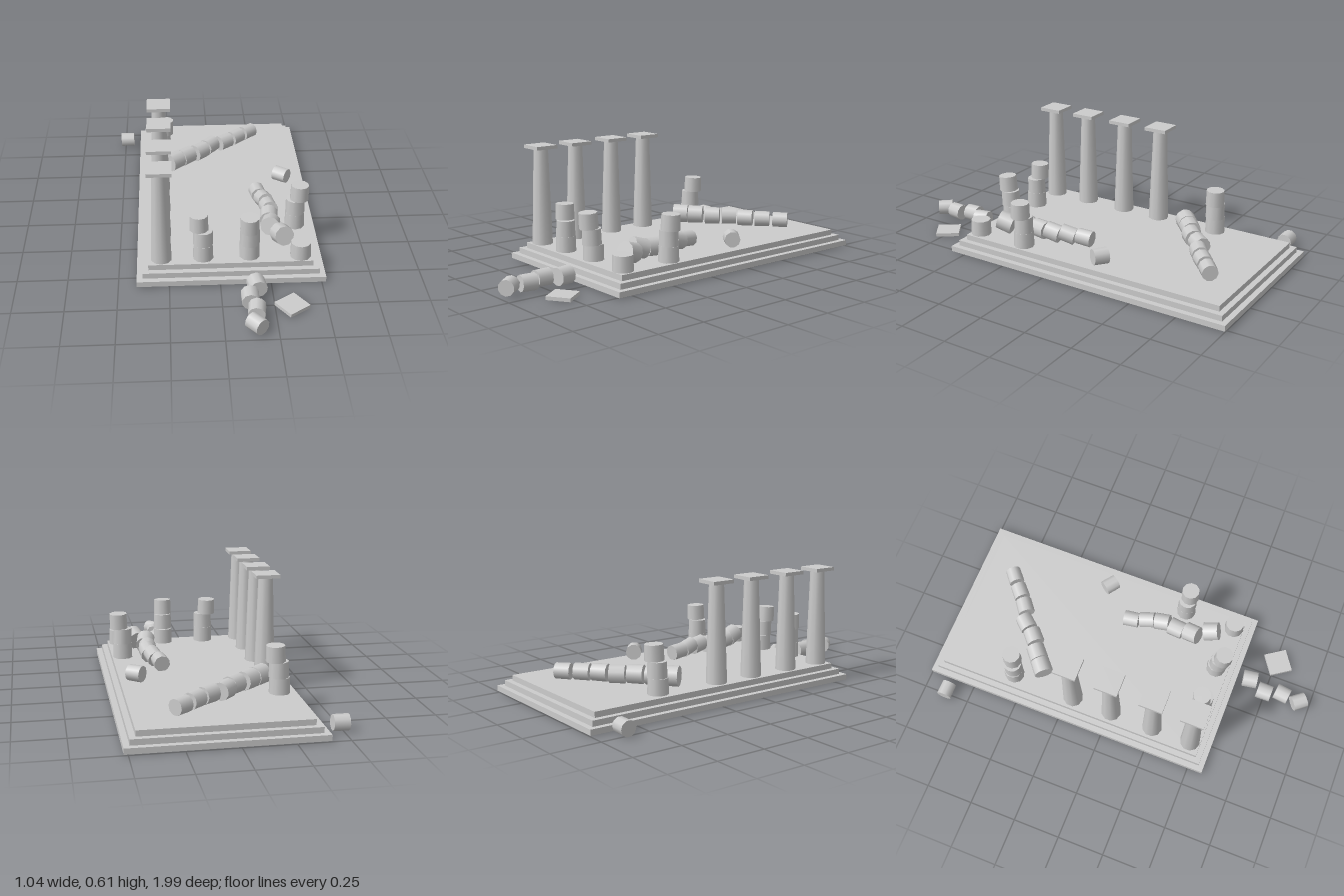
import * as THREE from 'three';

const stone = new THREE.MeshStandardMaterial({ color: 0xcccccc });
const shellStone = new THREE.MeshStandardMaterial({ color: 0xcccccc, side: THREE.DoubleSide });
const UP = new THREE.Vector3(0, 1, 0);
const SIDES = 10;
const FLOOR = 0.09;
const GROUND = 0.003;

function add(parent, name, geometry, x, y, z, material = stone) {
  const mesh = new THREE.Mesh(geometry, material);
  mesh.name = name;
  mesh.position.set(x, y, z);
  parent.add(mesh);
  return mesh;
}

// Hollow stepped platform, open below: rectangle rings joined by strips, then a top
function steppedShell(x0, x1, z0, z1, steps, inset, rise) {
  const rings = [];
  for (let i = 0; i < steps; i++) {
    const d = i * inset;
    for (const y of [i * rise, (i + 1) * rise]) {
      rings.push([
        [x0 + d, y, z1 - d], [x1 - d, y, z1 - d],
        [x1 - d, y, z0 + d], [x0 + d, y, z0 + d],
      ]);
    }
  }
  const pos = [];
  const quad = (a, b, c, d) => pos.push(...a, ...b, ...c, ...a, ...c, ...d);
  for (let r = 0; r < rings.length - 1; r++) {
    for (let k = 0; k < 4; k++) {
      const n = (k + 1) % 4;
      quad(rings[r][k], rings[r][n], rings[r + 1][n], rings[r + 1][k]);
    }
  }
  quad(...rings[rings.length - 1]);
  const g = new THREE.BufferGeometry();
  g.setAttribute('position', new THREE.Float32BufferAttribute(pos, 3));
  g.computeVertexNormals();
  return g;
}

// One drum whose axis has a heading about y (0 = +z) and a pitch above level
function lyingDrum(parent, x, z, base, r, heading, pitch = 0, length = 0.08) {
  const y = base + r * Math.cos(pitch) + (length / 2) * Math.abs(Math.sin(pitch));
  const drum = add(parent, 'fallenDrum', new THREE.CylinderGeometry(r * 0.97, r, length, SIDES), x, y, z);
  const axis = new THREE.Vector3(
    Math.sin(heading) * Math.cos(pitch), Math.sin(pitch), Math.cos(heading) * Math.cos(pitch));
  drum.quaternion.setFromUnitVectors(UP, axis);
}

// A broken column still standing: drums given as [x, z, tiltX, tiltZ]
function drumStack(parent, drums) {
  const stack = new THREE.Group();
  stack.name = 'brokenColumn';
  drums.forEach(([x, z, tx = 0, tz = 0], i) => {
    const r = 0.052 - i * 0.0018;
    const drum = add(stack, 'standingDrum', new THREE.CylinderGeometry(r * 0.96, r, 0.08, SIDES),
      x, FLOOR + 0.04 + i * 0.08, z);
    drum.rotation.set(tx, i * 0.3, tz);
  });
  parent.add(stack);
}

export function createModel() {
  const model = new THREE.Group();
  model.name = 'ruinedColonnade';

  add(model, 'steppedPlatform', steppedShell(-0.41, 0.52, -1, 0.58, 3, 0.029, 0.0287), 0, 0.004, 0, shellStone);

  // Whole columns with square capitals
  for (const z of [0.465, 0.25, 0.015, -0.205]) {
    const column = new THREE.Group();
    column.name = 'column';
    column.position.set(-0.287, FLOOR, z);
    add(column, 'shaft', new THREE.CylinderGeometry(0.037, 0.053, 0.5, SIDES), 0, 0.25, 0);
    add(column, 'capital', new THREE.BoxGeometry(0.122, 0.018, 0.122), 0, 0.509, 0);
    model.add(column);
  }

  // Broken standing columns
  drumStack(model, [[-0.08, 0.46], [-0.08, 0.46, 0.02, -0.02], [-0.1, 0.45, -0.03, 0.02]]);
  drumStack(model, [[0.15, 0.455], [0.15, 0.465, 0.04], [0.147, 0.482, 0.07]]);
  drumStack(model, [[0.405, 0.19], [0.405, 0.19, 0, 0.02], [0.425, 0.195, 0, -0.03]]);
  drumStack(model, [[-0.28, -0.55], [-0.275, -0.55], [-0.257, -0.555, 0, -0.03]]);
  drumStack(model, [[0.403, 0.47]]);

  // Column fallen across the back of the floor
  const backRow = new THREE.Group();
  backRow.name = 'fallenColumnBack';
  [[-0.205, -0.42, 2.28], [-0.14, -0.475, 2.28], [-0.06, -0.53, 2.3], [0, -0.6, 2.42],
    [0.087, -0.645, 2.22], [0.16, -0.705, 2.3], [0.235, -0.77, 2.26]]
    .forEach(([x, z, h], i) => lyingDrum(backRow, x, z, FLOOR, 0.052 - i * 0.0017, h));
  model.add(backRow);

  // Column fallen along the left of the floor, its drums tipped up toward the front
  const sideRow = new THREE.Group();
  sideRow.name = 'fallenColumnSide';
  [[0.235, -0.07, 0.12, 0.08], [0.26, 0.015, 0.24, 0.25], [0.278, 0.095, 0.12, 0.2],
    [0.272, 0.18, -0.1, 0.05], [0.272, 0.27, -0.18, 0.3], [0.32, 0.365, 0.26, 0.3]]
    .forEach(([x, z, h, p], i) => lyingDrum(sideRow, x, z, FLOOR - 0.004, 0.042 + i * 0.002, h, p));
  model.add(sideRow);

  // Drums rolled out onto the ground in front
  const groundRow = new THREE.Group();
  groundRow.name = 'groundDrums';
  [[0.172, 0.65, 0.15], [0.132, 0.745, 0], [0.156, 0.84, -0.12], [0.148, 0.937, 0.68]]
    .forEach(([x, z, h], i) => lyingDrum(groundRow, x, z, GROUND, 0.046 - i * 0.0015, h, 0, 0.077));
  model.add(groundRow);

  // Stray drums and a fallen capital
  lyingDrum(model, 0.383, -0.254, FLOOR, 0.042, 0.93, 0, 0.076);
  lyingDrum(model, -0.486, -0.873, 0.001, 0.04, Math.PI / 2, 0.02, 0.076);
  add(model, 'fallenCapital', new THREE.BoxGeometry(0.122, 0.018, 0.122), 0.332, 0.009, 0.763).rotation.y = 0.6;

  return model;
}
